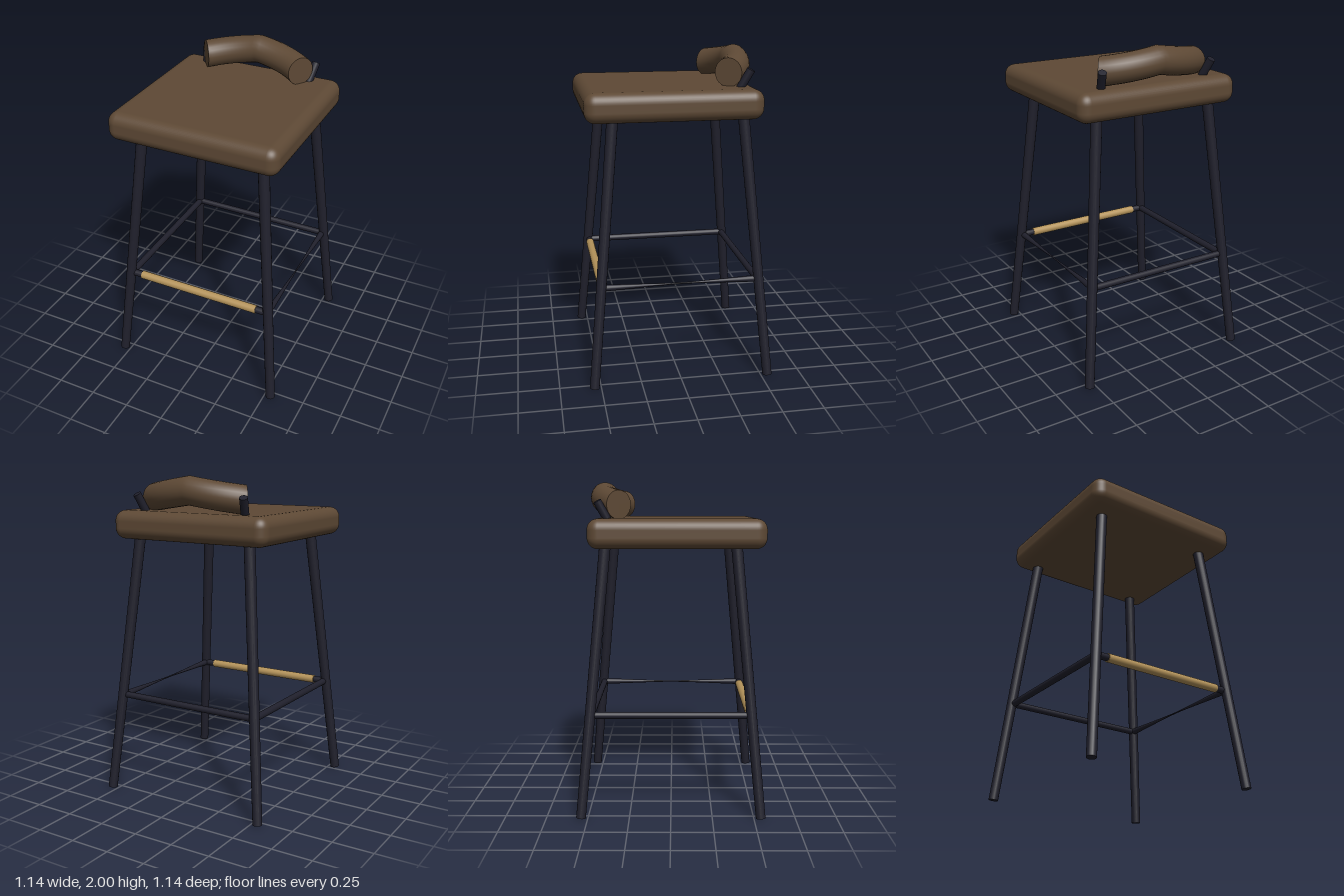
import * as THREE from 'three';
import { RoundedBoxGeometry } from 'three/addons/geometries/RoundedBoxGeometry.js';

const material = (name, color) => {
  const m = new THREE.MeshStandardMaterial({ color });
  m.name = name;
  return m;
};

export function createModel() {
  const group = new THREE.Group();
  group.name = 'barStool';
  const leather = material('brownLeather', 0x5e4935);
  const metal = material('darkMetal', 0x20202c);
  const brass = material('brass', 0xb4935a);

  const add = (name, geometry, mat) => {
    const mesh = new THREE.Mesh(geometry, mat);
    mesh.name = name;
    group.add(mesh);
    return mesh;
  };
  // Places a geometry made along y so that it runs from a to b
  const between = (name, geometry, mat, a, b) => {
    const from = new THREE.Vector3(...a), to = new THREE.Vector3(...b);
    const mesh = add(name, geometry, mat);
    mesh.position.copy(from).add(to).multiplyScalar(0.5);
    mesh.quaternion.setFromUnitVectors(new THREE.Vector3(0, 1, 0), to.sub(from).normalize());
    return mesh;
  };
  const rod = (name, mat, a, b, rBottom, rTop = rBottom) => {
    const length = new THREE.Vector3(...a).distanceTo(new THREE.Vector3(...b));
    return between(name, new THREE.CylinderGeometry(rTop, rBottom, length, 16), mat, a, b);
  };

  // Seat cushion
  add('seat', new RoundedBoxGeometry(1.07, 0.175, 1.044, 5, 0.065), leather)
    .position.set(0, 1.6975, 0.036);

  // Splayed, slightly tapered legs and the posts of the backrest
  for (const sx of [-1, 1]) {
    for (const sz of [-1, 1]) {
      rod(sz > 0 ? 'frontLeg' : 'backLeg', metal,
        [sx * 0.541, 0.003, sz * 0.541], [sx * 0.383, 1.68, sz * 0.383], 0.029, 0.034);
    }
    rod('backrestPost', metal, [sx * 0.335, 1.7, -0.335], [sx * 0.373, 1.885, -0.432], 0.025);
  }

  // Footrest ring
  const rungY = 0.622, e = 0.475;
  rod('frontRung', metal, [-e, rungY, e], [e, rungY, e], 0.021);
  rod('backRung', metal, [-e, rungY, -e], [e, rungY, -e], 0.02);
  rod('rightRung', metal, [-e, rungY, -e], [-e, rungY, e], 0.021);
  rod('footrestSleeve', brass, [-0.4, rungY, e], [0.4, rungY, e], 0.026);

  // The left rung narrows to a waist at its middle
  const waist = [];
  for (let i = 0; i <= 16; i++) {
    const t = i / 16;
    waist.push(new THREE.Vector2(0.021 * Math.sqrt(1 - 4 * t * (1 - t) * 0.95), (t - 0.5) * 2 * e));
  }
  between('leftRung', new THREE.LatheGeometry(waist, 16), metal, [e, rungY, -e], [e, rungY, e]);

  // Backrest roll: a cylinder bent round an arc, highest in the middle
  const R = 0.531, halfAngle = 0.645;
  const roll = new THREE.CylinderGeometry(0.086, 0.086, 2, 24, 24);
  const p = roll.attributes.position;
  for (let i = 0; i < p.count; i++) {
    const t = p.getY(i), a = t * halfAngle, r = R + p.getX(i);
    const y = 1.914 - 0.05 * Math.abs(Math.sin(a) / Math.sin(halfAngle)) - p.getZ(i);
    p.setXYZ(i, r * Math.sin(a), y, 0.116 - r * Math.cos(a));
  }
  roll.computeVertexNormals();
  add('backrest', roll, leather);

  return group;
}
